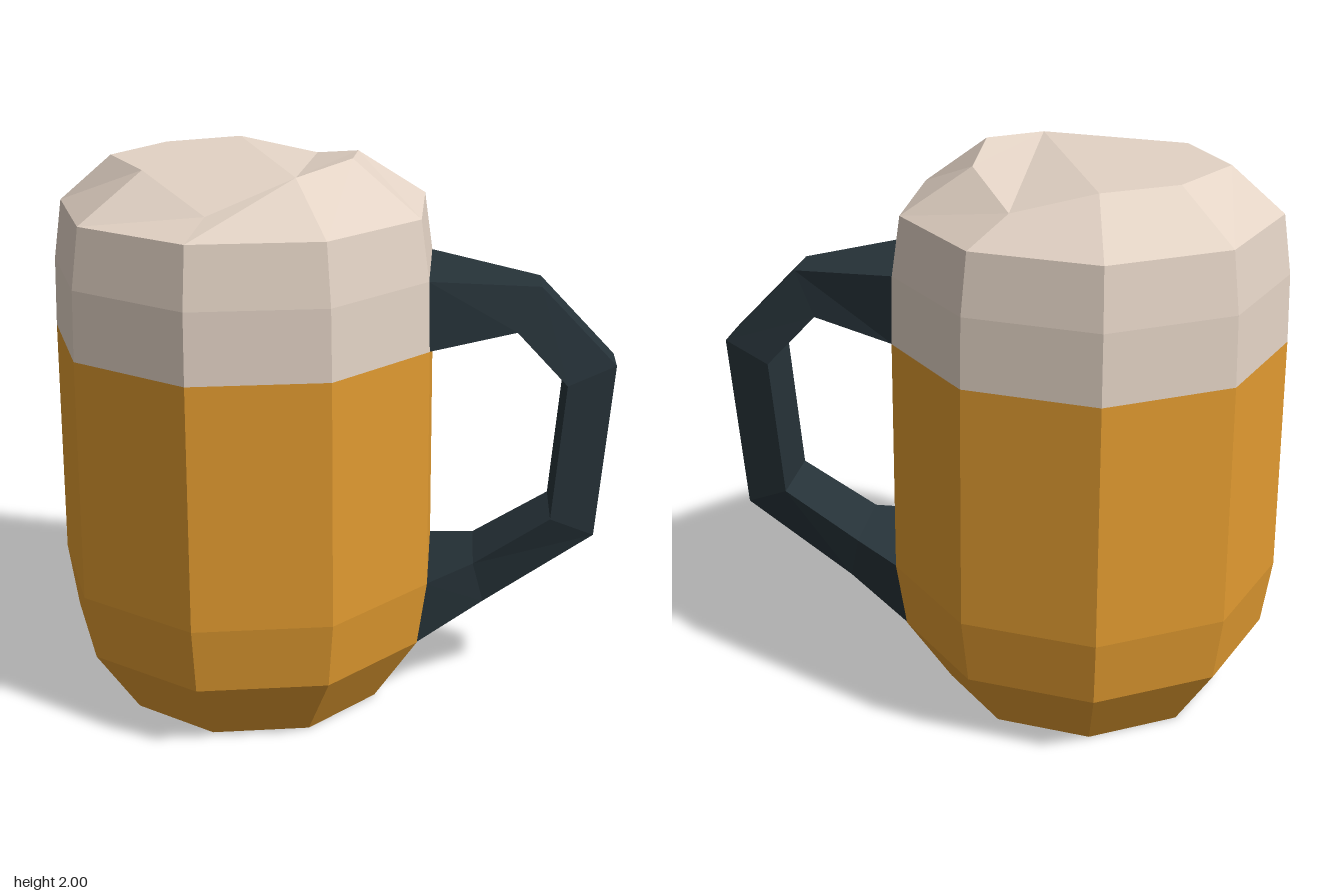
import * as THREE from 'three';

const SIDES = 9;
const CENTER_X = -0.3;

// Flat-shaded mesh from a list of triangle corners
function facetMesh(name, corners, material) {
  const geometry = new THREE.BufferGeometry().setFromPoints(corners);
  geometry.computeVertexNormals();
  const mesh = new THREE.Mesh(geometry, material);
  mesh.name = name;
  return mesh;
}

// Joins successive rings of points with quads
function loft(rings) {
  const out = [];
  for (let r = 0; r < rings.length - 1; r++) {
    const lo = rings[r], hi = rings[r + 1], n = lo.length;
    for (let i = 0; i < n; i++) {
      const j = (i + 1) % n;
      out.push(lo[j], lo[i], hi[i], lo[j], hi[i], hi[j]);
    }
  }
  return out;
}

// Nine-sided horizontal ring, starting at -x and turning towards -z
function ring(radius, y) {
  return Array.from({ length: SIDES }, (_, i) => {
    const t = (i / SIDES) * Math.PI * 2;
    return new THREE.Vector3(CENTER_X - radius * Math.cos(t), y, -radius * Math.sin(t));
  });
}

export function createModel() {
  const amber = new THREE.MeshStandardMaterial({ color: 0xe09a30 });
  amber.name = 'amber';
  const foamCream = new THREE.MeshStandardMaterial({ color: 0xe3d3c5 });
  foamCream.name = 'foamCream';
  const darkSlate = new THREE.MeshStandardMaterial({ color: 0x263238 });
  darkSlate.name = 'darkSlate';

  const group = new THREE.Group();
  group.name = 'beerMug';

  // Mug body with closed base
  const bodyRings = [[0.5, 0], [0.665, 0.25], [0.7, 0.49], [0.693, 1.355]].map(([r, y]) => ring(r, y));
  const body = loft(bodyRings);
  const base = bodyRings[0];
  for (let i = 1; i < SIDES - 1; i++) body.push(base[0], base[i], base[i + 1]);
  group.add(facetMesh('mugBody', body, amber));

  // Foam head with an uneven top
  const crown = [
    [-0.77, 1.97, 0], [-0.62, 1.97, -0.27], [-0.37, 1.97, -0.41],
    [-0.09, 1.905, -0.455], [0.08, 1.97, -0.15], [0.08, 1.995, 0.14],
    [-0.09, 1.97, 0.36], [-0.37, 1.865, 0.49], [-0.61, 1.97, 0.27],
  ].map((p) => new THREE.Vector3(...p));
  const foam = loft([ring(0.693, 1.355), ring(0.686, 1.6), ring(0.655, 1.81), crown]);
  const crownFaces = [[8, 1, 0], [8, 6, 1], [8, 7, 6], [6, 2, 1], [6, 3, 2], [6, 4, 3], [6, 5, 4]];
  for (const face of crownFaces) foam.push(...face.map((i) => crown[i]));
  group.add(facetMesh('foam', foam, foamCream));

  // Handle: outer x, y, half width, then inner x, y, half width
  const handleRings = [
    [0.343, 1.6, 0.235, 0.348, 1.355, 0.237],
    [0.73, 1.55, 0.08, 0.65, 1.4, 0.135],
    [1.0, 1.27, 0.075, 0.83, 1.21, 0.135],
    [0.95, 0.63, 0.075, 0.79, 0.71, 0.135],
    [0.56, 0.37, 0.11, 0.52, 0.535, 0.15],
    [0.322, 0.25, 0.227, 0.355, 0.49, 0.239],
  ].map(([ox, oy, ow, ix, iy, iw]) => [
    new THREE.Vector3(ox, oy, ow), new THREE.Vector3(ox, oy, -ow),
    new THREE.Vector3(ix, iy, -iw), new THREE.Vector3(ix, iy, iw),
  ]);
  group.add(facetMesh('handle', loft(handleRings), darkSlate));

  return group;
}
